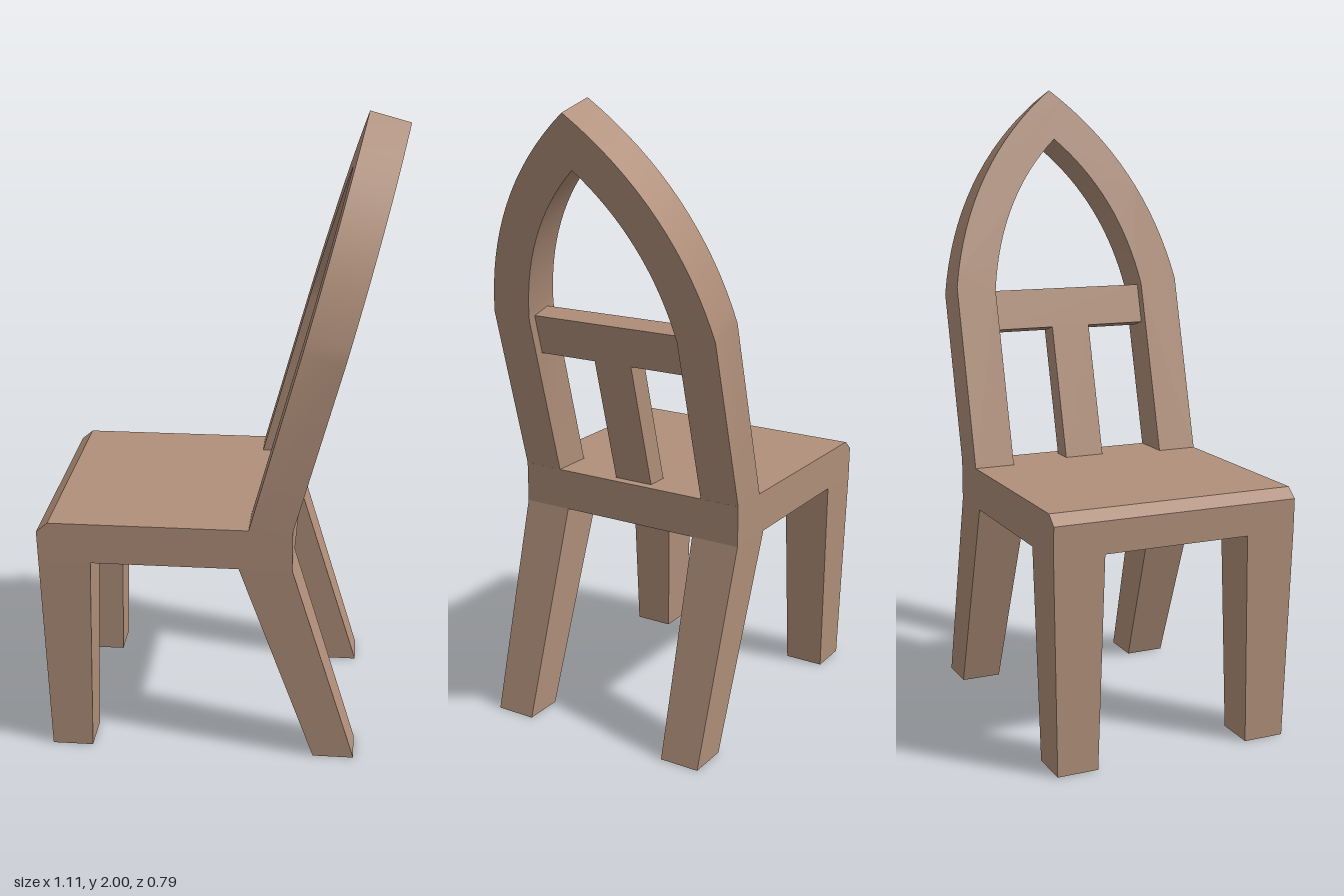
import * as THREE from 'three';
import { toCreasedNormals } from 'three/addons/utils/BufferGeometryUtils.js';

const HALF = 0.396; // half width of the chair

export function createModel() {
  const chair = new THREE.Group();
  chair.name = 'chair';
  const wood = new THREE.MeshStandardMaterial({ color: 0xb08f7a });
  wood.name = 'brown wood';

  const add = (parent, name, geometry) => {
    const mesh = new THREE.Mesh(geometry, wood);
    mesh.name = name;
    parent.add(mesh);
    return mesh;
  };

  // Seat: side profile with a chamfered front edge
  const profile = new THREE.Shape([
    [-0.553, 0.665], [0.235, 0.665], [0.235, 0.795], [-0.52, 0.795], [-0.556, 0.765],
  ].map(([x, y]) => new THREE.Vector2(x, y)));
  const seat = new THREE.ExtrudeGeometry(profile, { depth: HALF * 2, bevelEnabled: false });
  add(chair, 'seat', seat.translate(0, 0, -HALF));

  // Tapered leg: x range at top and bottom, narrowing in z toward the floor
  const leg = (top, bottom, side) => {
    const g = new THREE.BoxGeometry(1, 1, 1);
    const p = g.attributes.position;
    for (let i = 0; i < p.count; i++) {
      const high = p.getY(i) > 0;
      const x = (high ? top : bottom)[p.getX(i) > 0 ? 1 : 0];
      const outer = p.getZ(i) * side > 0;
      const z = high ? (outer ? HALF : 0.235) : (outer ? 0.38 : 0.25);
      p.setXYZ(i, x, high ? 0.665 : 0, z * side);
    }
    g.computeVertexNormals();
    return g;
  };
  for (const side of [1, -1]) {
    add(chair, 'frontLeg', leg([-0.553, -0.39], [-0.536, -0.406], side));
    add(chair, 'backLeg', leg([0.07, 0.235], [0.31, 0.44], side));
  }

  // Leaning backrest: local x runs across, y up the slope, -z toward the rear
  const back = new THREE.Group();
  back.name = 'backrest';
  const lean = Math.atan(0.27);
  const s = Math.sin(lean), c = Math.cos(lean);
  back.applyMatrix4(new THREE.Matrix4().makeBasis(
    new THREE.Vector3(0, 0, 1), new THREE.Vector3(s, c, 0), new THREE.Vector3(-c, s, 0),
  ).setPosition(0.1, 0.795, 0));
  chair.add(back);

  // Pointed arch frame
  const arch = new THREE.Shape();
  arch.moveTo(HALF, 0);
  arch.lineTo(HALF, 0.59);
  arch.quadraticCurveTo(0.323, 0.995, 0, 1.248);
  arch.quadraticCurveTo(-0.323, 0.995, -HALF, 0.59);
  arch.lineTo(-HALF, 0);
  arch.lineTo(-0.265, 0);
  arch.lineTo(-0.265, 0.575);
  arch.quadraticCurveTo(-0.217, 0.886, 0, 1.08);
  arch.quadraticCurveTo(0.217, 0.886, 0.265, 0.575);
  arch.lineTo(0.265, 0);
  const frame = new THREE.ExtrudeGeometry(arch, { depth: 0.13, bevelEnabled: false, curveSegments: 16 });
  add(back, 'archFrame', toCreasedNormals(frame.translate(0, 0, -0.13), 0.4));

  // Crossbar and centre slat, set in from the frame faces
  add(back, 'crossbar', new THREE.BoxGeometry(0.53, 0.13, 0.07)).position.set(0, 0.513, -0.066);
  add(back, 'centreSlat', new THREE.BoxGeometry(0.132, 0.448, 0.07)).position.set(0, 0.224, -0.066);

  return chair;
}
